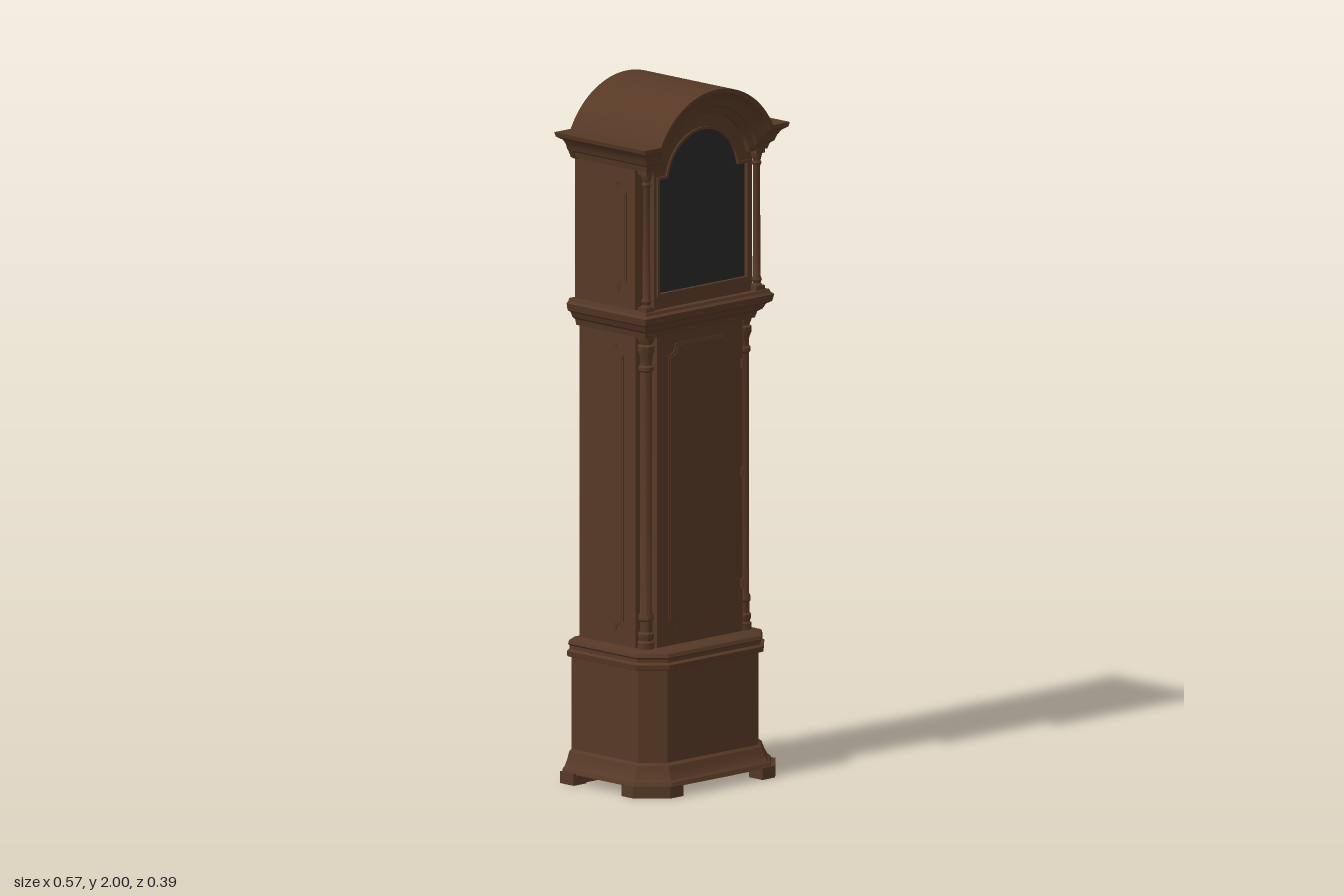
import * as THREE from 'three';
import { toCreasedNormals } from 'three/addons/utils/BufferGeometryUtils.js';

const wood = new THREE.MeshStandardMaterial({ color: 0x55371f });
wood.name = 'dark walnut';
wood.color.set(0x563825);
const glass = new THREE.MeshStandardMaterial({ color: 0x272727 });
glass.name = 'smoked glass';

const BACK = -0.175;
const ARCH_Y = 1.753, ARCH_R = 0.247;

export function createModel() {
  const root = new THREE.Group();
  root.name = 'longcaseClock';

  const add = (name, geo, x = 0, y = 0, z = 0, mat = wood, parent = root) => {
    const m = new THREE.Mesh(geo, mat);
    m.name = name;
    m.position.set(x, y, z);
    parent.add(m);
    return m;
  };
  const box = (name, w, h, d, x, y, z) => add(name, new THREE.BoxGeometry(w, h, d), x, y, z);

  // surface through rows of [x, y, z] points
  const skin = (rows, closed = false) => {
    const pos = [];
    const n = rows[0].length;
    const same = (p, q) => Math.hypot(p[0] - q[0], p[1] - q[1], p[2] - q[2]) < 1e-6;
    const tri = (a, b, c) => {
      if (!same(a, b) && !same(b, c) && !same(a, c)) pos.push(...a, ...b, ...c);
    };
    for (let i = 0; i < rows.length - 1; i++)
      for (let k = 0; k < (closed ? n : n - 1); k++) {
        const a = rows[i][k], b = rows[i][(k + 1) % n];
        const c = rows[i + 1][k], d = rows[i + 1][(k + 1) % n];
        tri(a, b, d);
        tri(a, d, c);
      }
    const g = new THREE.BufferGeometry();
    g.setAttribute('position', new THREE.Float32BufferAttribute(pos, 3));
    return toCreasedNormals(g, 0.5);
  };

  // solid from [y, halfWidth] levels: straight back, chamfered front corners
  const moulding = (name, levels, depthShift, chamfer) => {
    const rows = levels.map(([y, hx]) => {
      const zf = hx - depthShift, c = chamfer(hx);
      return [[-hx, y, BACK], [-hx, y, zf - c], [-hx + c, y, zf],
        [hx - c, y, zf], [hx, y, zf - c], [hx, y, BACK]];
    });
    const cap = (y) => Array(6).fill([0, y, 0]);
    add(name, skin([cap(levels[0][0]), ...rows, cap(levels.at(-1)[0])], true));
  };
  const poly = (pts) => new THREE.Shape(pts.map(([x, y]) => new THREE.Vector2(x, y)));
  const slab = (shape, depth) => toCreasedNormals(
    new THREE.ExtrudeGeometry(shape, { depth, bevelEnabled: false, curveSegments: 24 }), 0.5);

  // ---- base ----
  const baseChamfer = (hx) => 0.057 + 0.586 * (hx - 0.235);
  moulding('baseBox', [[0.085, 0.235], [0.36, 0.235]], 0.083, baseChamfer);
  moulding('plinth', [[0.03, 0.273], [0.042, 0.268], [0.047, 0.261], [0.065, 0.251],
    [0.085, 0.244], [0.092, 0.235]], 0.083, baseChamfer);
  moulding('baseMoulding', [[0.355, 0.236], [0.36, 0.251], [0.375, 0.253], [0.38, 0.243],
    [0.39, 0.243], [0.395, 0.248], [0.405, 0.244], [0.412, 0.222]], 0.085, baseChamfer);

  // bracket feet, drawn in plan as [x, -z]
  const frontFoot = [[0.155, -0.193], [0.205, -0.193], [0.28, -0.118], [0.28, -0.073],
    [0.225, -0.073], [0.225, -0.1], [0.185, -0.14], [0.155, -0.14]];
  const backFoot = [[0.155, 0.13], [0.23, 0.13], [0.23, 0.12], [0.28, 0.12], [0.28, 0.175], [0.155, 0.175]];
  for (const s of [1, -1])
    for (const [name, pts] of [['frontFoot', frontFoot], ['backFoot', backFoot]])
      add(name, slab(poly(pts.map(([x, y]) => [x * s, y])), 0.034)).rotation.x = -Math.PI / 2;

  // ---- trunk, notched at the front for the corner columns ----
  const half = [[0.213, 0.165], [0.213, -0.06], [0.168, -0.06], [0.168, -0.1]];
  const plan = [...half, ...half.map(([x, y]) => [-x, y]).reverse()];
  add('trunk', slab(poly(plan), 0.92), 0, 0.4, 0).rotation.x = -Math.PI / 2;

  const columnProfile = [[0, 0.41], [0.024, 0.41], [0.024, 0.43], [0.019, 0.435], [0.023, 0.445],
    [0.023, 0.455], [0.018, 0.46], [0.018, 0.49], [0.022, 0.495], [0.022, 0.505], [0.017, 0.515],
    [0.017, 1.205], [0.022, 1.21], [0.022, 1.22], [0.017, 1.225], [0.018, 1.25], [0.024, 1.265],
    [0.024, 1.28], [0.018, 1.285], [0.024, 1.3], [0.024, 1.315], [0, 1.315]];
  const lathe = (pts) => toCreasedNormals(
    new THREE.LatheGeometry(pts.map(([r, y]) => new THREE.Vector2(r, y)), 20).toNonIndexed(), 0.6);
  for (const s of [1, -1]) add('trunkColumn', lathe(columnProfile), s * 0.19, 0, 0.079);

  // raised panel with scooped corners, centred on its own origin
  const panelShape = (w, h, r) => {
    const x = w / 2, y = h / 2, p = new THREE.Shape();
    p.moveTo(-x + r, -y).lineTo(x - r, -y);
    p.absarc(x, -y, r, Math.PI, Math.PI / 2, true).lineTo(x, y - r);
    p.absarc(x, y, r, Math.PI * 1.5, Math.PI, true).lineTo(-x + r, y);
    p.absarc(-x, y, r, 0, -Math.PI / 2, true).lineTo(-x, -y + r);
    p.absarc(-x, -y, r, Math.PI / 2, 0, true);
    return p;
  };
  const panel = (name, w, h, x, y, z, turn) => {
    const g = new THREE.Group();
    g.name = name;
    g.position.set(x, y, z);
    g.rotation.y = turn;
    add('panelEdge', slab(panelShape(w, h, 0.03), 0.003), 0, 0, 0, wood, g);
    add('panelField', slab(panelShape(w - 0.012, h - 0.012, 0.03), 0.005), 0, 0, 0, wood, g);
    root.add(g);
  };
  panel('trunkDoorPanel', 0.25, 0.825, 0, 0.863, 0.1, 0);
  for (const s of [1, -1]) {
    panel('trunkSidePanel', 0.138, 0.825, s * 0.213, 0.863, -0.056, s * Math.PI / 2);
    panel('hoodSidePanel', 0.172, 0.32, s * 0.23, 1.59, -0.043, s * Math.PI / 2);
  }
  for (const y of [0.55, 0.87, 1.18])
    add('trunkDoorHinge', new THREE.CylinderGeometry(0.004, 0.004, 0.025, 10), 0.163, y, 0.103);

  // ---- moulding below the hood ----
  moulding('waistMoulding', [[1.305, 0.216], [1.322, 0.22], [1.33, 0.231], [1.345, 0.238],
    [1.352, 0.25], [1.372, 0.254], [1.378, 0.247], [1.386, 0.244]], 0.113, () => 0.002);

  // ---- hood ----
  // arched outline: straight sides up to a shoulder, then an arc
  const arched = (hx, y0, shoulder, cy, r) => {
    const a = Math.asin((shoulder - cy) / r);
    const p = new THREE.Shape();
    p.moveTo(-hx, y0).lineTo(hx, y0).lineTo(hx, shoulder);
    p.absarc(0, cy, r, a, Math.PI - a, false).lineTo(-hx, shoulder);
    return p;
  };
  add('hoodCase', slab(arched(0.23, 1.38, 1.8, ARCH_Y, 0.2), 0.24), 0, 0, -0.165);
  const glassOutline = (g) => arched(0.172 + g, 1.43 - g, 1.757 + g, 1.737, 0.14 + g);
  const doorShape = arched(0.19, 1.384, 1.8, ARCH_Y, 0.172);
  doorShape.holes.push(glassOutline(0));
  add('hoodDoor', slab(doorShape, 0.037), 0, 0, 0.074);
  const bead = glassOutline(0.008);
  bead.holes.push(glassOutline(0));
  add('glassBead', slab(bead, 0.006), 0, 0, 0.11);
  add('glassPane', slab(glassOutline(0.001), 0.008), 0, 0, 0.096, glass);

  const hoodColumn = [[0, 1.385], [0.016, 1.385], [0.016, 1.4], [0.011, 1.405], [0.015, 1.415],
    [0.011, 1.425], [0.01, 1.74], [0.014, 1.75], [0.011, 1.757], [0.016, 1.775], [0.016, 1.79], [0, 1.79]];
  for (const s of [1, -1]) {
    add('hoodColumn', lathe(hoodColumn), s * 0.216, 0, 0.107);
    box('hoodColumnBase', 0.034, 0.014, 0.034, s * 0.216, 1.391, 0.107);
    box('hoodColumnCap', 0.034, 0.014, 0.034, s * 0.216, 1.785, 0.107);
  }

  // ---- arched roof and cornice: the same path, stepped inwards ----
  const archRow = (off, xe, zf, zb) => {
    const y = 1.865 - off, r = ARCH_R - off;
    const a = Math.asin((y - ARCH_Y) / r);
    const row = [[-xe, y, zb], [-xe, y, zf]];
    for (let i = 0; i <= 40; i++) {
      const t = Math.PI - a - (Math.PI - 2 * a) * i / 40;
      row.push([r * Math.cos(t), ARCH_Y + r * Math.sin(t), zf]);
    }
    row.push([xe, y, zf], [xe, y, zb]);
    return row;
  };
  const roof = skin([
    archRow(0.075, 0.19, 0.07, BACK), archRow(0.075, 0.238, 0.128, BACK),
    archRow(0.058, 0.242, 0.134, BACK), archRow(0.052, 0.251, 0.143, BACK),
    archRow(0.035, 0.257, 0.148, BACK), archRow(0.022, 0.268, 0.155, BACK),
    archRow(0.012, 0.282, 0.168, -0.19), archRow(0, 0.285, 0.17, -0.193),
    archRow(0, 0.285, -0.193, -0.193), archRow(0.022, 0.268, -0.193, -0.193),
    archRow(0.022, 0.268, -0.17, -0.17),
  ]);
  add('roofAndCornice', roof);

  // back closure behind the cornice, and the back door fittings
  const backShape = new THREE.Shape();
  backShape.moveTo(-0.23, 1.785).lineTo(0.23, 1.785).lineTo(0.238, 1.79).lineTo(0.25, 1.813)
    .lineTo(0.257, 1.83).lineTo(0.268, 1.843);
  const a = Math.asin((1.843 - ARCH_Y) / 0.225);
  backShape.absarc(0, ARCH_Y, 0.225, a, Math.PI - a, false);
  backShape.lineTo(-0.268, 1.843).lineTo(-0.257, 1.83).lineTo(-0.25, 1.813).lineTo(-0.238, 1.79);
  add('hoodBackArch', slab(backShape, 0.02), 0, 0, -0.174);
  for (const y of [1.49, 1.69]) box('backHinge', 0.022, 0.042, 0.006, -0.185, y, -0.167);
  box('backLatch', 0.01, 0.025, 0.006, 0.165, 1.6, -0.167);

  return root;
}
